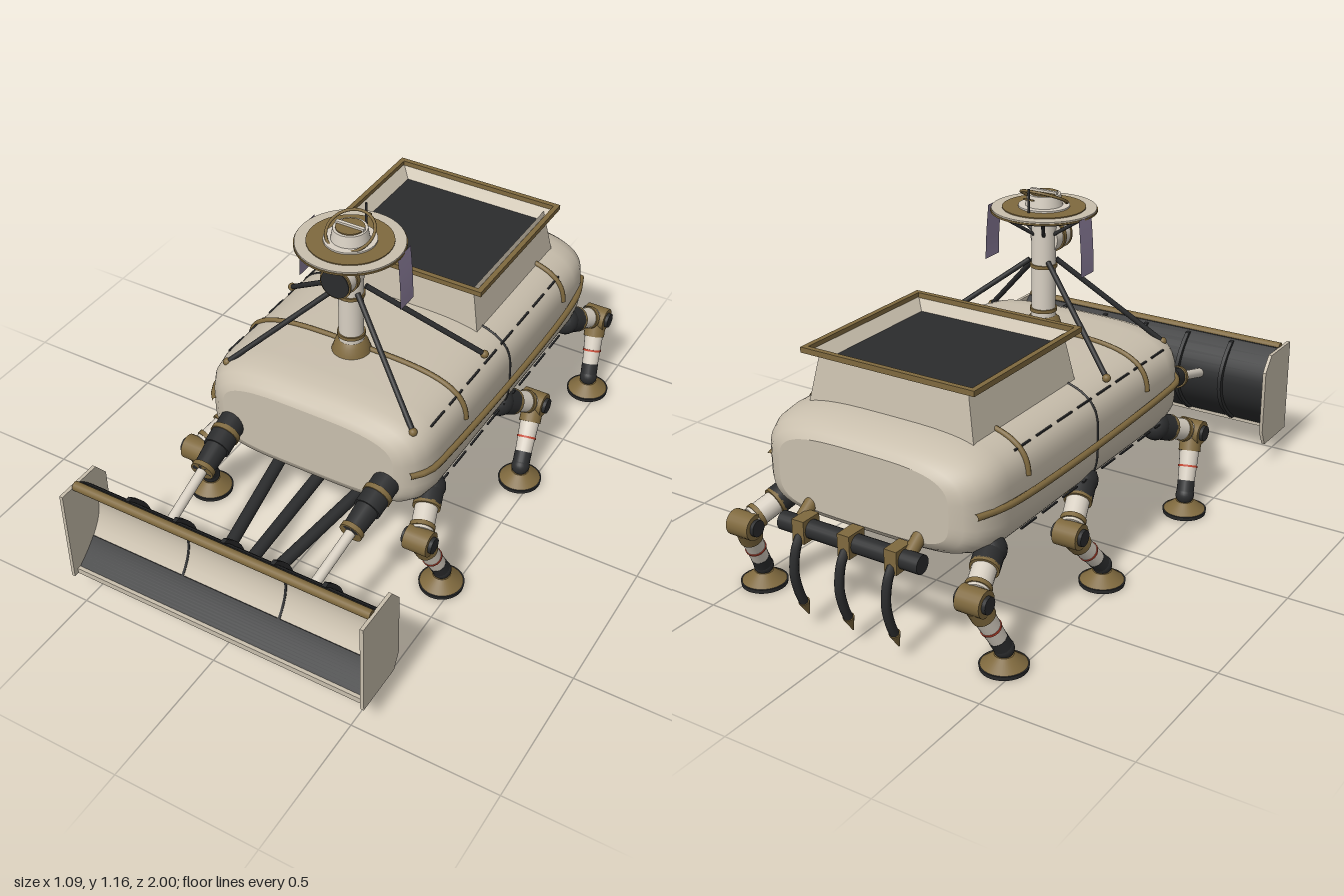
import * as THREE from 'three';
import { toCreasedNormals } from 'three/addons/utils/BufferGeometryUtils.js';

const V = (x, y, z) => new THREE.Vector3(x, y, z);
const mat = (name, color, side = THREE.FrontSide) => {
  const m = new THREE.MeshStandardMaterial({ color, side });
  m.name = name;
  return m;
};

// Skin through rings of points; each ring turns right-handed about the reverse of the travel direction
function loft(rings) {
  const n = rings[0].length, pos = [], idx = [];
  rings.forEach(r => r.forEach(p => pos.push(p.x, p.y, p.z)));
  for (let i = 0; i < rings.length - 1; i++) for (let j = 0; j < n; j++) {
    const a = i * n + j, b = i * n + (j + 1) % n;
    idx.push(a, a + n, b, b, a + n, b + n);
  }
  const g = new THREE.BufferGeometry();
  g.setAttribute('position', new THREE.Float32BufferAttribute(pos, 3));
  g.setIndex(idx);
  g.computeVertexNormals();
  return g;
}

// Rounded hull section: half width w, bottom b, top t at depth z
function section(z, w, b, t, n = 72) {
  const c = (b + t) / 2, h = (t - b) / 2, pts = [];
  for (let i = 0; i < n; i++) {
    const a = i / n * Math.PI * 2, e = 2 / (Math.sin(a) > 0 ? 3.5 : 4.2);
    const f = v => Math.sign(v) * Math.abs(v) ** e;
    pts.push(V(w * f(Math.cos(a)), c + h * f(Math.sin(a)), z));
  }
  return pts;
}

// Side profile given as [z, y], extruded across x
function slab(pts, width) {
  const g = new THREE.ExtrudeGeometry(new THREE.Shape(pts.map(p => new THREE.Vector2(...p))),
    { depth: width, bevelEnabled: false });
  g.translate(0, 0, -width / 2).rotateY(-Math.PI / 2);
  return toCreasedNormals(g, 0.5);
}

export function createModel() {
  const root = new THREE.Group();
  root.name = 'plowWalker';
  const hullM = mat('hull beige', 0xc9bfad), white = mat('leg white', 0xd8d0c3),
    gold = mat('bronze trim', 0x7f693e), dark = mat('dark rubber', 0x2b2c2d),
    cloth = mat('purple cloth', 0x8f819f, THREE.DoubleSide), red = mat('red marking', 0xc2452f);

  const add = (name, geo, m, x = 0, y = 0, z = 0, parent = root) => {
    const o = new THREE.Mesh(geo, m);
    o.name = name;
    o.position.set(x, y, z);
    parent.add(o);
    return o;
  };
  const rod = (name, a, b, r, m, parent = root, r2 = r) => {
    const o = add(name, new THREE.CylinderGeometry(r2, r, a.distanceTo(b), 20), m, 0, 0, 0, parent);
    o.position.copy(a).lerp(b, 0.5);
    o.quaternion.setFromUnitVectors(V(0, 1, 0), b.clone().sub(a).normalize());
    return o;
  };
  const part = (name, a, b, t0, t1, r, m, parent, r2) =>
    rod(name, a.clone().lerp(b, t0), a.clone().lerp(b, t1), r, m, parent, r2);
  const tube = (name, pts, r, m, closed = false, parent = root) =>
    add(name, new THREE.TubeGeometry(new THREE.CatmullRomCurve3(pts, closed), pts.length * 6, r, 8, closed), m, 0, 0, 0, parent);
  const cyl = (name, r1, r2, h, m, x, y, z, parent) => add(name, new THREE.CylinderGeometry(r1, r2, h, 40), m, x, y, z, parent);
  const box = (name, w, h, d, m, x, y, z) => add(name, new THREE.BoxGeometry(w, h, d), m, x, y, z);
  const ball = (name, r, m, p, parent) => add(name, new THREE.SphereGeometry(r, 20, 14), m, p.x, p.y, p.z, parent);

  // Hull with flat end plates
  const full = [0.41, 0.295, 0.665];
  const rings = [[0.435, 0.318, 0.36, 0.6], [0.425, 0.345, 0.335, 0.622], [0.4, 0.375, 0.315, 0.642],
    [0.36, 0.398, 0.302, 0.656], [0.29, ...full], [0, ...full], [-0.35, ...full], [-0.7, ...full],
    [-0.77, 0.403, 0.303, 0.655], [-0.82, 0.38, 0.32, 0.64], [-0.85, 0.35, 0.34, 0.62], [-0.865, 0.31, 0.36, 0.6]]
    .map(s => section(...s));
  add('hull', loft(rings), hullM);
  const cap = new THREE.ShapeGeometry(new THREE.Shape(rings[0].map(p => new THREE.Vector2(p.x, p.y))));
  add('frontPlate', cap, hullM, 0, 0, 0.435);
  const back = add('rearPlate', cap, hullM, 0, 0, -0.865);
  back.rotation.y = Math.PI;
  back.scale.x = 0.975;

  // Hull bands, seams and side rails
  for (const z of [0.13, -0.6]) tube('hullBand', section(z, 0.413, 0.293, 0.668).filter(p => p.y > 0.5), 0.009, gold);
  tube('hullSeam', section(-0.19, ...full), 0.004, dark, true);
  for (const s of [-1, 1]) {
    tube('sideRail', [V(s * 0.365, 0.478, 0.412), V(s * 0.405, 0.478, 0.36), V(s * 0.418, 0.478, 0.25),
      V(s * 0.418, 0.478, -0.7), V(s * 0.38, 0.478, -0.83)], 0.011, gold);
    for (const [x, y] of [[0.377, 0.606], [0.4, 0.357]])
      for (let z = 0.26; z > -0.7; z -= 0.12) box('panelSeam', 0.006, 0.005, 0.085, dark, s * x, y, z);
  }
  for (const z of [0.05, -0.4]) box('bellyPlate', 0.25, 0.03, 0.4, dark, 0, 0.285, z);

  // Hopper with sunken dark floor and bronze rim
  const rect = (w, d, y) => [V(w, y, -d), V(w, y, d), V(-w, y, d), V(-w, y, -d)];
  const hopper = loft([rect(0.305, 0.288, 0.62), rect(0.27, 0.264, 0.8), rect(0.305, 0.292, 0.802),
    rect(0.305, 0.292, 0.812), rect(0.262, 0.25, 0.77)]);
  add('hopper', toCreasedNormals(hopper, 0.3), hullM, 0, 0, -0.435);
  box('hopperFloor', 0.524, 0.008, 0.5, dark, 0, 0.767, -0.435);
  for (const s of [-1, 1]) {
    box('hopperRimSide', 0.018, 0.018, 0.6, gold, s * 0.306, 0.81, -0.435);
    box('hopperRimEnd', 0.63, 0.018, 0.018, gold, 0, 0.81, -0.435 + s * 0.291);
  }

  // Mast
  const mz = 0.15;
  add('mastBase', new THREE.LatheGeometry([[0.075, 0.64], [0.062, 0.672], [0.055, 0.695], [0.042, 0.708]]
    .map(p => new THREE.Vector2(...p)), 32), gold, 0, 0, mz);
  cyl('mast', 0.041, 0.041, 0.4, white, 0, 0.87, mz);
  for (const y of [0.73, 0.885]) cyl('mastRing', 0.046, 0.046, 0.012, gold, 0, y, mz);
  for (const [s, x, y, z] of [[1, 0.345, 0.612, 0.36], [-1, 0.345, 0.612, 0.36], [1, 0.37, 0.635, -0.07], [-1, 0.37, 0.635, -0.07]]) {
    rod('mastStay', V(s * 0.036, 0.905, mz + (z > 0 ? 0.02 : -0.03)), V(s * x, y, z), 0.009, dark);
    ball('stayFoot', 0.014, gold, V(s * x, y, z));
  }

  // Front lamp
  const lamp = new THREE.Group();
  lamp.name = 'lamp';
  lamp.position.set(0, 0.975, mz);
  lamp.rotation.x = Math.PI / 2;
  root.add(lamp);
  cyl('lampBarrel', 0.052, 0.052, 0.09, white, 0, 0.045, 0, lamp);
  cyl('lampCollar', 0.057, 0.057, 0.016, gold, 0, 0.045, 0, lamp);
  cyl('lampBezel', 0.055, 0.055, 0.008, gold, 0, 0.09, 0, lamp);
  cyl('lampLens', 0.05, 0.05, 0.006, dark, 0, 0.094, 0, lamp);

  // Dish, hub, hoop and antenna
  cyl('dishUnderside', 0.172, 0.16, 0.01, dark, 0, 1.07, mz);
  cyl('dishTop', 0.174, 0.174, 0.008, hullM, 0, 1.079, mz);
  cyl('dishEdge', 0.177, 0.177, 0.006, gold, 0, 1.075, mz);
  cyl('dishBand', 0.138, 0.138, 0.005, gold, 0, 1.084, mz);
  cyl('hubSeat', 0.085, 0.085, 0.008, white, 0, 1.088, mz);
  cyl('hub', 0.055, 0.062, 0.04, white, 0, 1.11, mz);
  cyl('hubRing', 0.046, 0.046, 0.006, gold, 0, 1.131, mz);
  box('hubBar', 0.1, 0.01, 0.012, white, 0, 1.136, mz);
  const hoop = add('hoop', new THREE.TorusGeometry(0.078, 0.005, 8, 40).rotateX(-Math.PI / 2), gold, 0, 1.117, mz);
  hoop.rotation.x = 0.45;
  rod('antenna', V(0, 1.08, 0.055), V(0, 1.165, 0.055), 0.004, dark);
  box('antennaBar', 0.04, 0.005, 0.005, gold, 0, 1.13, 0.055);
  for (let i = 0; i < 6; i++) {
    const a = i * Math.PI / 3, c = Math.cos(a), s = Math.sin(a);
    rod('dishStrut', V(c * 0.038, 0.995, mz + s * 0.038), V(c * 0.15, 1.068, mz + s * 0.15), 0.006, dark);
  }
  for (const s of [-1, 1]) {
    const flag = new THREE.PlaneGeometry(0.08, 0.19, 1, 8).rotateY(Math.PI / 2);
    const p = flag.attributes.position;
    for (let i = 0; i < p.count; i++) p.setX(i, s * 0.012 * Math.sin((0.095 - p.getY(i)) * 8));
    flag.computeVertexNormals();
    add('pennant', flag, cloth, s * 0.173, 0.985, 0.12);
  }

  // Curved plow blade
  const bz = y => 0.845 + 4 * (y - 0.29) ** 2;
  const strip = (name, y0, y1, off, th, w, m, x = 0) => {
    const f = [], b = [], n = 12;
    for (let i = 0; i <= n; i++) {
      const y = y0 + (y1 - y0) * i / n;
      f.push([bz(y) + off, y]);
      b.unshift([bz(y) + off - th, y]);
    }
    return add(name, slab([...f, ...b], w), m, x);
  };
  strip('bladeFace', 0.185, 0.44, 0, 0.01, 1.07, hullM);
  strip('bladeWearStrip', 0.112, 0.185, 0.002, 0.012, 1.07, dark);
  strip('bladeBack', 0.11, 0.44, -0.01, 0.012, 1.07, dark);
  box('bladeEdge', 1.07, 0.02, 0.025, hullM, 0, 0.105, 0.97);
  rod('bladeTopPipe', V(-0.535, 0.438, 0.935), V(0.535, 0.438, 0.935), 0.016, gold);
  for (const x of [-0.18, 0.18]) strip('bladeSeam', 0.185, 0.425, 0.002, 0.004, 0.008, dark, x);
  for (let i = -2; i <= 2; i++) strip('bladeRib', 0.115, 0.435, -0.02, 0.02, 0.014, dark, i * 0.178);
  for (let i = -2; i <= 2; i++) ball('bladeBolt', 0.005, gold, V(i * 0.22, 0.355, bz(0.355)));
  for (const s of [-1, 1])
    add('bladeEndPlate', slab([[1, 0.095], [0.82, 0.095], [0.792, 0.15], [0.792, 0.385], [0.835, 0.44], [1, 0.44]], 0.012), hullM, s * 0.539);

  // Push arms and hydraulic rams
  for (const s of [-1, 0, 1]) rod('pushArm', V(s * 0.16, 0.28, 0.32), V(s * 0.08, 0.235, 0.83), 0.021, dark);
  for (const s of [-1, 1]) {
    const a = V(s * 0.29, 0.435, 0.41), b = V(s * 0.266, 0.315, 0.825);
    part('ramRod', a, b, 0.4, 1, 0.017, white);
    part('ramHousing', a, b, 0, 0.3, 0.046, dark);
    part('ramNose', a, b, 0.3, 0.52, 0.04, dark, root, 0.034);
    part('ramCollar', a, b, 0.14, 0.18, 0.05, gold);
    part('ramTip', a, b, 0.48, 0.52, 0.04, gold);
  }

  // Six jointed legs: hip, knee and foot depths, knee height
  for (const [hz, kz, fz, ky] of [[0.28, 0.45, 0.352, 0.265], [-0.21, -0.38, -0.228, 0.235], [-0.74, -0.91, -0.805, 0.265]]) {
    for (const s of [-1, 1]) {
      const leg = new THREE.Group();
      leg.name = 'leg';
      root.add(leg);
      const hip = V(s * 0.37, 0.335, hz), knee = V(s * 0.425, ky, kz), ankle = V(s * 0.457, 0.065, fz);
      ball('hipJoint', 0.05, dark, hip, leg);
      part('hipSleeve', hip, knee, 0, 0.35, 0.046, dark, leg);
      part('hipCollar', hip, knee, 0.33, 0.4, 0.046, gold, leg);
      part('thigh', hip, knee, 0.35, 0.85, 0.038, white, leg);
      part('thighCollar', hip, knee, 0.72, 0.8, 0.042, gold, leg);
      rod('kneeHub', V(knee.x - 0.042, ky, kz), V(knee.x + 0.042, ky, kz), 0.042, gold, leg);
      rod('kneePin', V(knee.x - 0.054, ky, kz), V(knee.x + 0.054, ky, kz), 0.027, dark, leg);
      part('kneeSleeve', knee, ankle, 0.1, 0.32, 0.038, gold, leg);
      part('shin', knee, ankle, 0.3, 0.8, 0.034, white, leg, 0.029);
      part('shinStripe', knee, ankle, 0.54, 0.57, 0.034, red, leg);
      part('ankleSleeve', knee, ankle, 0.78, 1, 0.03, dark, leg);
      ball('ankle', 0.032, dark, ankle, leg);
      cyl('footPad', 0.03, 0.074, 0.034, gold, ankle.x, 0.029, fz, leg);
      cyl('footSole', 0.076, 0.074, 0.014, dark, ankle.x, 0.007, fz, leg);
    }
  }

  // Rear ripper bar with curved tines
  rod('ripperBar', V(-0.257, 0.335, -0.922), V(0.257, 0.335, -0.922), 0.03, dark);
  for (const s of [-1, 1]) rod('ripperBracket', V(s * 0.2, 0.39, -0.84), V(s * 0.2, 0.335, -0.92), 0.022, gold);
  for (const x of [-0.17, 0, 0.17]) {
    box('tineClamp', 0.044, 0.075, 0.075, gold, x, 0.335, -0.922);
    tube('tine', [V(x, 0.33, -0.94), V(x, 0.285, -0.972), V(x, 0.21, -0.985), V(x, 0.14, -0.97), V(x, 0.085, -0.947)], 0.015, dark);
    rod('tineTip', V(x, 0.095, -0.95), V(x, 0.04, -0.93), 0.018, gold, root, 0.002);
  }
  return root;
}
